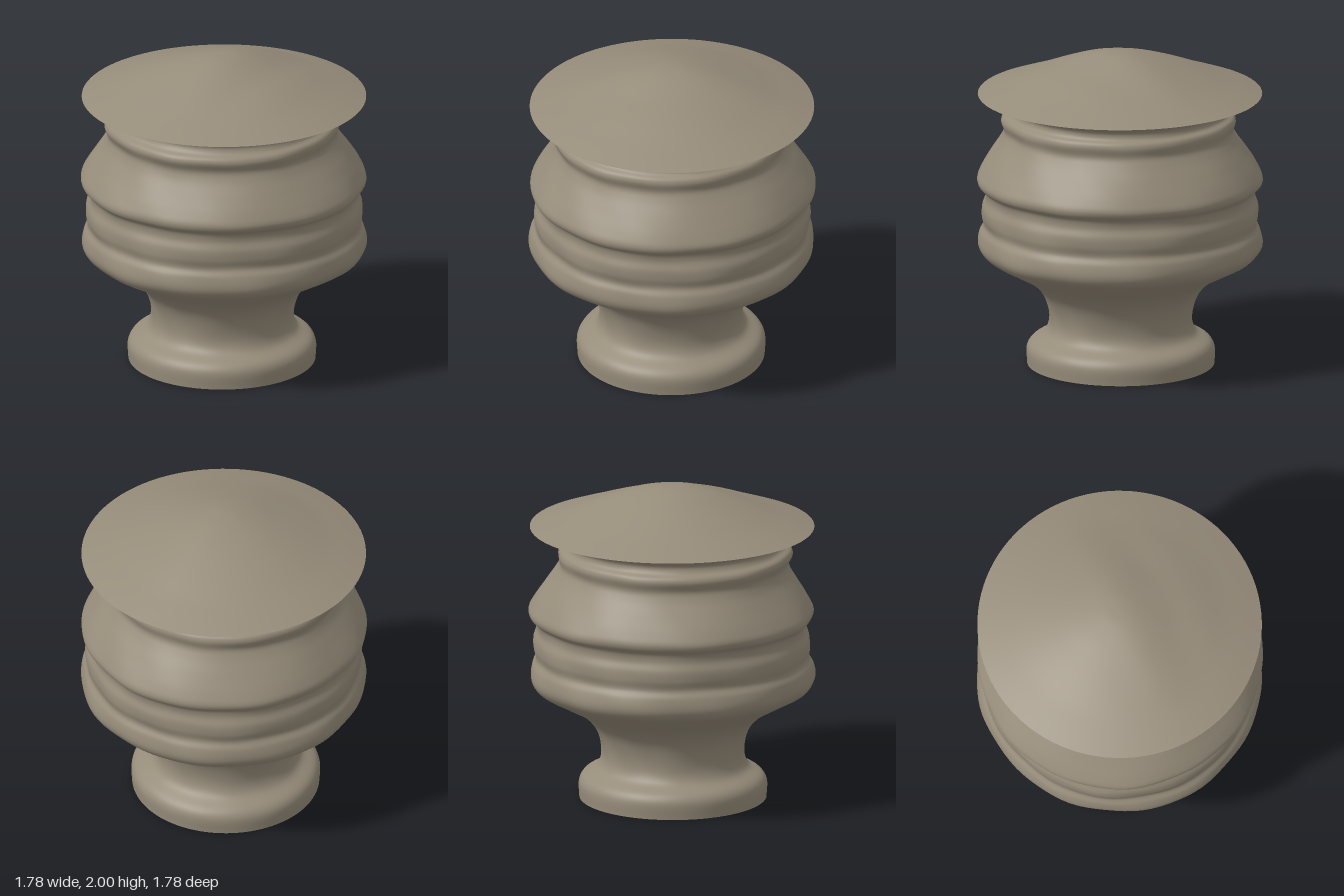
import * as THREE from 'three';
import { mergeVertices } from 'three/addons/utils/BufferGeometryUtils.js';

// Smooth lathe from [radius, height] points; warp(p, angle) roughens each vertex
function turned(points, divisions, warp) {
  const curve = new THREE.CatmullRomCurve3(
    points.map(([r, y]) => new THREE.Vector3(r, y, 0)), false, 'centripetal');
  const profile = curve.getPoints(divisions).map(p => new THREE.Vector2(Math.max(p.x, 0), p.y));
  let geometry = new THREE.LatheGeometry(profile, 96);
  const pos = geometry.attributes.position;
  const p = new THREE.Vector3();
  for (let i = 0; i < pos.count; i++) {
    p.fromBufferAttribute(pos, i);
    warp(p, Math.atan2(p.x, p.z));
    pos.setXYZ(i, p.x, p.y, p.z);
  }
  // Weld the seam so the shading stays smooth
  geometry.deleteAttribute('uv');
  geometry.deleteAttribute('normal');
  geometry = mergeVertices(geometry, 1e-4);
  geometry.computeVertexNormals();
  return geometry;
}

export function createModel() {
  const group = new THREE.Group();
  group.name = 'turnedFinial';
  const stone = new THREE.MeshStandardMaterial({ color: 0x968c7a, side: THREE.DoubleSide });
  stone.name = 'weatheredStone';

  const add = (name, geometry) => {
    const mesh = new THREE.Mesh(geometry, stone);
    mesh.name = name;
    group.add(mesh);
  };

  // Worn surface: gentle dents that fade out at the rim and foot
  const wear = (p, a) => {
    const fade = THREE.MathUtils.smoothstep(p.y, 0.02, 0.3) *
      (1 - THREE.MathUtils.smoothstep(p.y, 1.6, 1.72));
    const dent = 0.005 * Math.sin(3 * a + 5 * p.y) + 0.004 * Math.sin(7 * a - 9 * p.y) +
      0.003 * Math.sin(13 * a + 17 * p.y);
    const k = 1 + fade * dent;
    p.x *= k;
    p.z *= k;
    // Foot and collar sit slightly off axis
    p.x -= 0.013 * (1 - THREE.MathUtils.smoothstep(p.y, 0.2, 0.7));
    p.x -= 0.015 * Math.exp(-(((p.y - 1.57) / 0.1) ** 2));
    p.z += 0.012 * Math.exp(-(((p.y - 1.57) / 0.1) ** 2));
  };

  // Hollow foot, waist, banded bowl and collar, flaring out to the rim
  add('body', turned([
    [0.583, 0], [0.585, 0.1], [0.56, 0.145], [0.475, 0.2], [0.447, 0.26],
    [0.452, 0.36], [0.49, 0.46], [0.575, 0.55], [0.73, 0.64], [0.855, 0.715],
    [0.885, 0.77], [0.875, 0.85], [0.85, 0.9], [0.86, 0.96], [0.858, 1.02],
    [0.838, 1.08], [0.845, 1.13], [0.88, 1.165], [0.888, 1.2], [0.86, 1.26],
    [0.795, 1.36], [0.735, 1.45], [0.715, 1.5], [0.73, 1.56], [0.72, 1.59],
    [0.685, 1.615], [0.675, 1.65], [0.71, 1.69], [0.8, 1.718], [0.885, 1.735],
  ], 150, wear));

  // Shallow domed cap with a sharp rim and a faint diagonal ridge
  add('cap', turned([
    [0.885, 1.735], [0.78, 1.773], [0.66, 1.815], [0.52, 1.868],
    [0.38, 1.918], [0.24, 1.962], [0.1, 1.99], [0, 1.995],
  ], 40, (p, a) => {
    const r = Math.hypot(p.x, p.z);
    const inside = 1 - THREE.MathUtils.smoothstep(r, 0.3, 0.87);
    const across = (p.x + 0.6 * p.z) * 0.857;
    p.y += inside * (0.006 * Math.exp(-((across / 0.12) ** 2)) -
      0.012 * Math.exp(-(((across - 0.28) / 0.14) ** 2)));
    p.y += 0.006 * Math.sin(3 * a + 1) * Math.min(r, 0.885 - r);
  }));

  return group;
}
